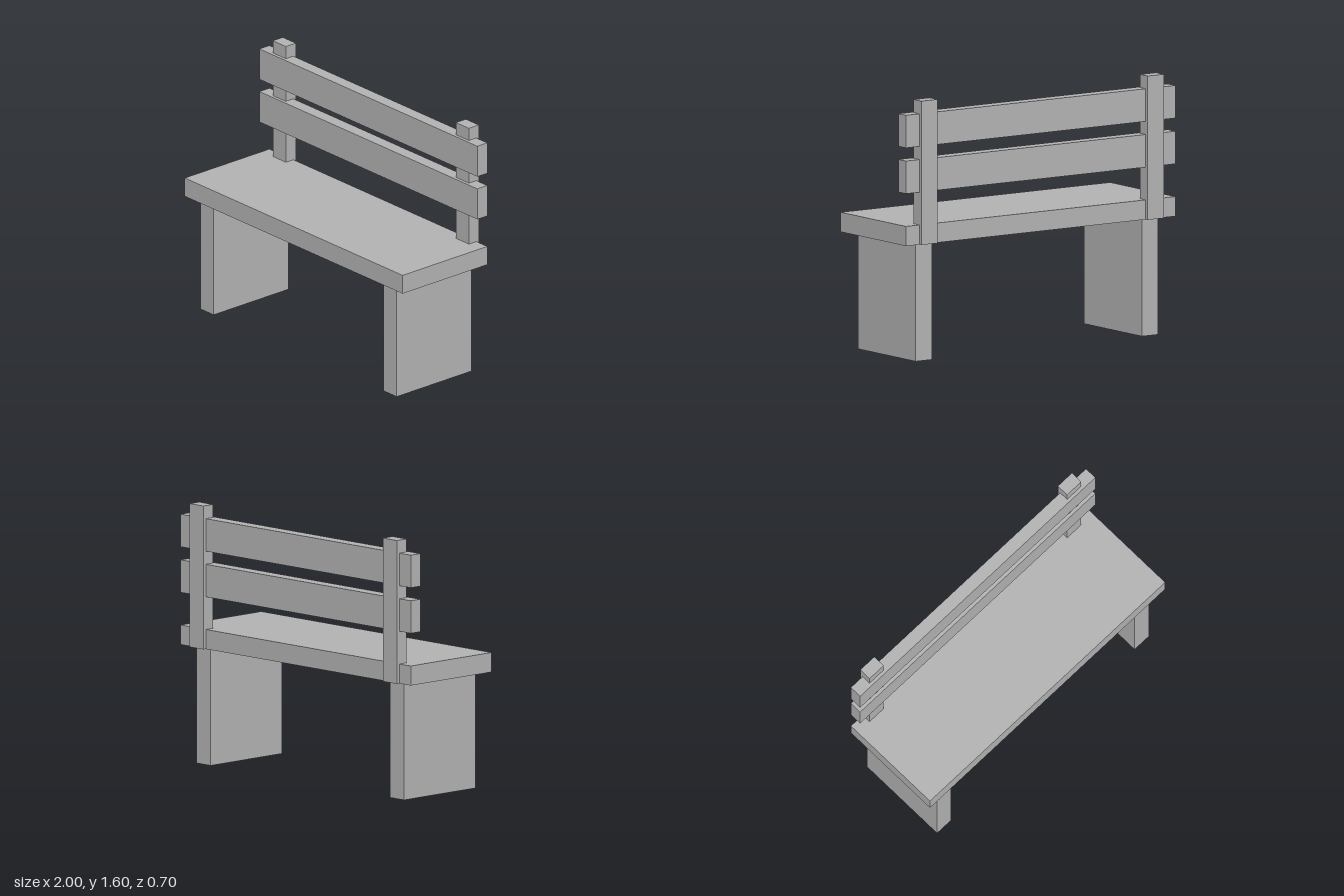
import * as THREE from 'three';

const stone = new THREE.MeshStandardMaterial({ color: 0xb2b2b2, side: THREE.DoubleSide });
stone.name = 'bench grey';

// Box given by its extents, hollow and open underneath
function board(name, [x0, x1], [y0, y1], [z0, z1]) {
  const geometry = new THREE.BoxGeometry(x1 - x0, y1 - y0, z1 - z0);
  const index = Array.from(geometry.index.array);
  index.splice(18, 6); // drop the bottom face
  geometry.setIndex(index);
  geometry.clearGroups();
  const mesh = new THREE.Mesh(geometry, stone);
  mesh.name = name;
  mesh.position.set((x0 + x1) / 2, (y0 + y1) / 2, (z0 + z1) / 2);
  return mesh;
}

export function createModel() {
  const bench = new THREE.Group();
  bench.name = 'bench';

  // Seat and the two backrest slats
  bench.add(
    board('seat', [-1, 1], [0.72, 0.84], [-0.33, 0.35]),
    board('lowerSlat', [-1, 1], [1.04, 1.24], [-0.33, -0.25]),
    board('upperSlat', [-1, 1], [1.32, 1.52], [-0.33, -0.25])
  );

  // Slab legs and backrest posts, mirrored
  for (const [side, x] of [['left', [0.78, 0.9]], ['right', [-0.9, -0.78]]]) {
    bench.add(
      board(side + 'Leg', x, [0, 0.72], [-0.29, 0.31]),
      board(side + 'Post', x, [0.72, 1.6], [-0.35, -0.27])
    );
  }
  return bench;
}
